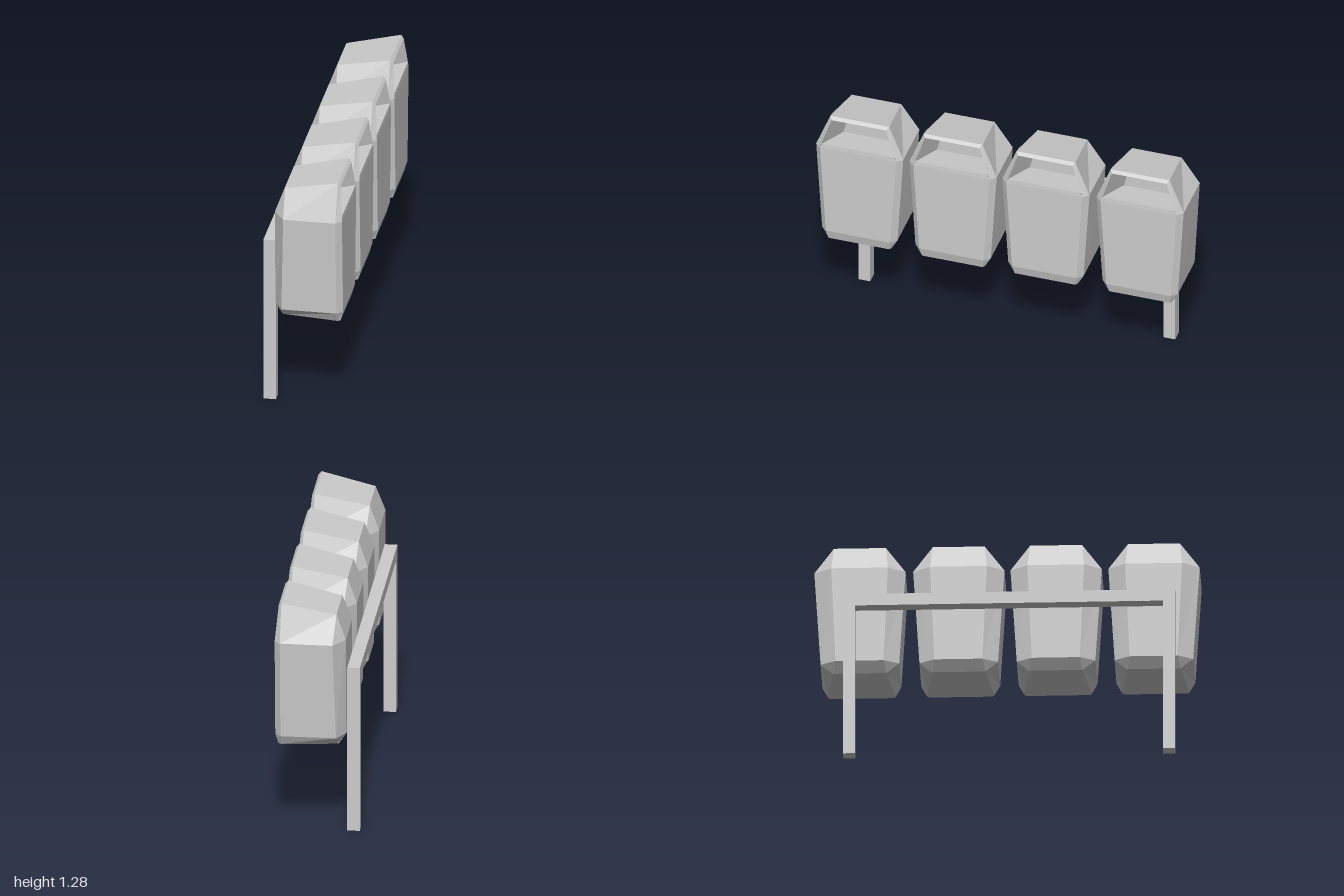
import * as THREE from 'three';

const grey = new THREE.MeshStandardMaterial({ color: 0xcccccc, flatShading: true });

// Builds a flat-faced geometry from convex polygons (corners counter-clockwise from outside)
function fromPolygons(polygons) {
  const pos = [];
  for (const p of polygons)
    for (let i = 1; i < p.length - 1; i++) pos.push(...p[0], ...p[i], ...p[i + 1]);
  const g = new THREE.BufferGeometry();
  g.setAttribute('position', new THREE.Float32BufferAttribute(pos, 3));
  g.computeVertexNormals();
  return g;
}

// Eight-cornered ring: the +z half from front to back, then its mirror image
function ring(half) {
  return [...half, ...half.map(([x, y, z]) => [x, y, -z]).reverse()];
}

function binGeometry() {
  const bottom = ring([[0.2, 0.505, 0.165], [0.185, 0.505, 0.175], [-0.105, 0.505, 0.14], [-0.11, 0.505, 0.138]]);
  const base = ring([[0.215, 0.56, 0.175], [0.185, 0.56, 0.205], [-0.105, 0.56, 0.204], [-0.15, 0.56, 0.125]]);
  const shoulder = ring([[0.215, 1.09, 0.207], [0.185, 1.09, 0.237], [-0.09, 1.09, 0.237], [-0.15, 1.09, 0.147]]);
  const top = ring([[0.2, 1.27, 0.148], [0.185, 1.285, 0.16], [-0.098, 1.225, 0.135], [-0.1, 1.225, 0.135]]);
  const levels = [bottom, base, shoulder, top];
  const faces = [bottom];

  // Outer walls; the upper front panel is left open for the mouth
  for (let l = 0; l < 3; l++) {
    const lo = levels[l], up = levels[l + 1];
    for (let i = 0; i < 8; i++) {
      if (l === 2 && i === 7) continue;
      const j = (i + 1) % 8;
      faces.push([lo[j], lo[i], up[i], up[j]]);
    }
  }

  // Sloping lid and its narrow front bevel
  faces.push([top[6], top[5], top[4], top[3], top[2], top[1]]);
  faces.push([top[0], top[7], top[6], top[1]]);

  // Lip under the mouth
  const lipL = [0.213, 1.115, 0.198], lipR = [0.213, 1.115, -0.198];
  faces.push([shoulder[0], shoulder[7], lipR, lipL]);

  // Recess: four tapering walls and a back panel
  const mouth = [lipL, lipR, top[7], top[0]];
  const panel = [[0.06, 1.1, 0.128], [0.06, 1.1, -0.128], [0.06, 1.246, -0.09], [0.06, 1.246, 0.09]];
  for (let i = 0; i < 4; i++) {
    const j = (i + 1) % 4;
    faces.push([mouth[i], mouth[j], panel[j], panel[i]]);
  }
  faces.push(panel);
  return fromPolygons(faces);
}

function box(name, w, h, d, x, y, z) {
  const m = new THREE.Mesh(new THREE.BoxGeometry(w, h, d), grey);
  m.name = name;
  m.position.set(x, y, z);
  return m;
}

export function createModel() {
  const model = new THREE.Group();
  model.name = 'binRow';

  // Row of four bins, mouths towards +x
  const bin = binGeometry();
  [0.763, 0.255, -0.25, -0.763].forEach((z, i) => {
    const m = new THREE.Mesh(bin, grey);
    m.name = `bin${i + 1}`;
    m.position.z = z;
    model.add(m);
  });

  // Frame behind the bins: two posts and a top rail
  const frame = new THREE.Group();
  frame.name = 'frame';
  for (const [name, z] of [['leftPost', 0.845], ['rightPost', -0.815]])
    frame.add(box(name, 0.066, 0.845, 0.064, -0.183, 0.4225, z));
  frame.add(box('topRail', 0.066, 0.065, 1.724, -0.183, 0.8775, 0.015));
  model.add(frame);
  return model;
}
